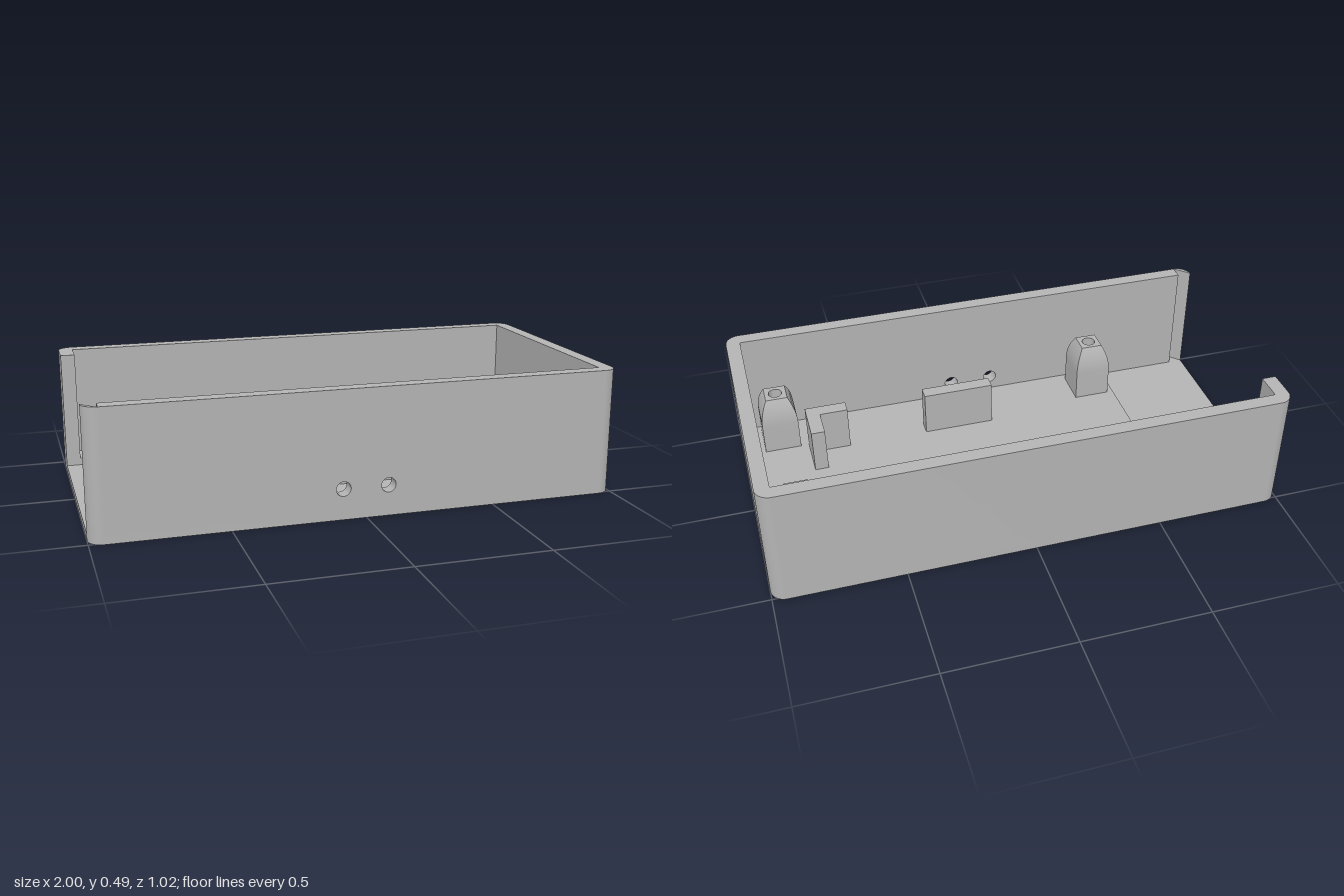
import * as THREE from 'three';
import { toCreasedNormals } from 'three/addons/utils/BufferGeometryUtils.js';

const W = 1, D = 0.512, H = 0.487, T = 0.055; // half width, half depth, height, wall
const IX = W - T, IZ = D - T;                 // inner half sizes
const BASE = 0.028, FLOOR = 0.057;            // recessed and main floor heights
const RIB = 0.24;                             // top of ribs and stops

export function createModel() {
  const model = new THREE.Group();
  const grey = new THREE.MeshStandardMaterial({ color: 0xb4b4b4 });

  const add = (name, geometry, parent = model) => {
    const mesh = new THREE.Mesh(geometry, grey);
    mesh.name = name;
    parent.add(mesh);
    return mesh;
  };
  const extrude = (shape, depth) => toCreasedNormals(
    new THREE.ExtrudeGeometry(shape, { depth, bevelEnabled: false, curveSegments: 10 }), 0.6);
  // plan shapes use (x, -z) and rise from y0 to y1
  const rise = (name, shape, y0, y1) =>
    add(name, extrude(shape, y1 - y0).rotateX(-Math.PI / 2).translate(0, y0, 0));
  const polygon = (pairs) => new THREE.Shape(pairs.map(([x, z]) => new THREE.Vector2(x, -z)));
  const P = Math.PI;

  // bottom plate with rounded corners
  const plate = new THREE.Shape();
  plate.absarc(IX, -IZ, T, -P / 2, 0);
  plate.absarc(IX, IZ, T, 0, P / 2);
  plate.absarc(-IX, IZ, T, P / 2, P);
  plate.absarc(-IX, -IZ, T, P, P * 1.5);
  plate.closePath();
  rise('bottomPlate', plate, 0, BASE);

  // raised floor, leaving a recess by the open end
  rise('raisedFloor', polygon([[-0.6, IZ], [IX, IZ], [IX, -IZ], [-IX, -IZ],
    [-IX, -0.35], [-0.6, -0.35]]), BASE, FLOOR);

  // left wall, back wall and the short return at the open end
  const walls = new THREE.Shape();
  walls.absarc(IX, -IZ, T, -P / 2, 0);
  walls.absarc(IX, IZ, T, 0, P / 2);
  walls.absarc(-IX, IZ, T, P / 2, P);
  [[-W, 0.35], [-IX, 0.35], [-IX, IZ], [IX, IZ], [IX, -IZ]].forEach(([x, y]) => walls.lineTo(x, y));
  walls.closePath();
  rise('sideAndBackWalls', walls, BASE, H);

  // rounded free end of the front wall
  const tip = new THREE.Shape();
  tip.moveTo(-IX, -IZ);
  tip.absarc(-IX, -IZ, T, P, P * 1.5);
  tip.closePath();
  rise('frontWallEnd', tip, BASE, H);

  // front wall with two through holes
  const front = new THREE.Shape([[-IX, BASE], [IX, BASE], [IX, H], [-IX, H]]
    .map(([x, y]) => new THREE.Vector2(x, y)));
  for (const x of [-0.088, 0.084]) {
    front.holes.push(new THREE.Path().absarc(x, 0.117, 0.028, 0, P * 2, true));
  }
  add('frontWall', extrude(front, T).translate(0, 0, IZ));

  // ribs on the back wall
  for (const x of [-0.486, 0.711]) {
    rise('backRib', polygon([[x - 0.027, -0.35], [x + 0.027, -0.35],
      [x + 0.027, -IZ], [x - 0.027, -IZ]]), FLOOR, RIB);
  }

  // straight stop and corner stop
  rise('straightStop', polygon([[-0.033, 0.281], [0.252, 0.281], [0.252, 0.227], [-0.033, 0.227]]),
    FLOOR, RIB);
  rise('cornerStop', polygon([[0.573, 0.281], [0.738, 0.281], [0.738, 0.111],
    [0.684, 0.111], [0.684, 0.227], [0.573, 0.227]]), FLOOR, RIB);

  // square screw posts with curved shoulders and a round bore
  const half = 0.0725, topHalf = 0.043, shoulder = 0.18, postTop = 0.29, bore = 0.027;
  const dx = half - topHalf, dy = postTop - shoulder;
  const radius = (dx * dx + dy * dy) / (2 * dx), sweep = Math.asin(dy / radius);
  const profile = [new THREE.Vector2(half * Math.SQRT2, FLOOR)];
  for (let i = 0; i <= 6; i++) {
    const a = sweep * i / 6;
    profile.push(new THREE.Vector2((half - radius * (1 - Math.cos(a))) * Math.SQRT2,
      shoulder + radius * Math.sin(a)));
  }
  const bodyGeometry = toCreasedNormals(new THREE.LatheGeometry(profile, 4, P / 4), 0.6);
  const rim = polygon([[-topHalf, topHalf], [topHalf, topHalf], [topHalf, -topHalf], [-topHalf, -topHalf]]);
  rim.holes.push(new THREE.Path().absarc(0, 0, bore, 0, P * 2, true));
  const rimGeometry = new THREE.ShapeGeometry(rim, 12).rotateX(-P / 2).translate(0, postTop, 0);
  const boreGeometry = toCreasedNormals(new THREE.LatheGeometry(
    [[bore, postTop], [bore, 0.1], [0, 0.1]].map(([x, y]) => new THREE.Vector2(x, y)), 24), 0.6);

  for (const [x, z] of [[-0.502, 0.353], [0.842, 0.353], [0.842, -0.26]]) {
    const post = new THREE.Group();
    post.name = 'screwPost';
    post.position.set(x, 0, z);
    add('postBody', bodyGeometry, post);
    add('postRim', rimGeometry, post);
    add('postBore', boreGeometry, post);
    model.add(post);
  }
  return model;
}
